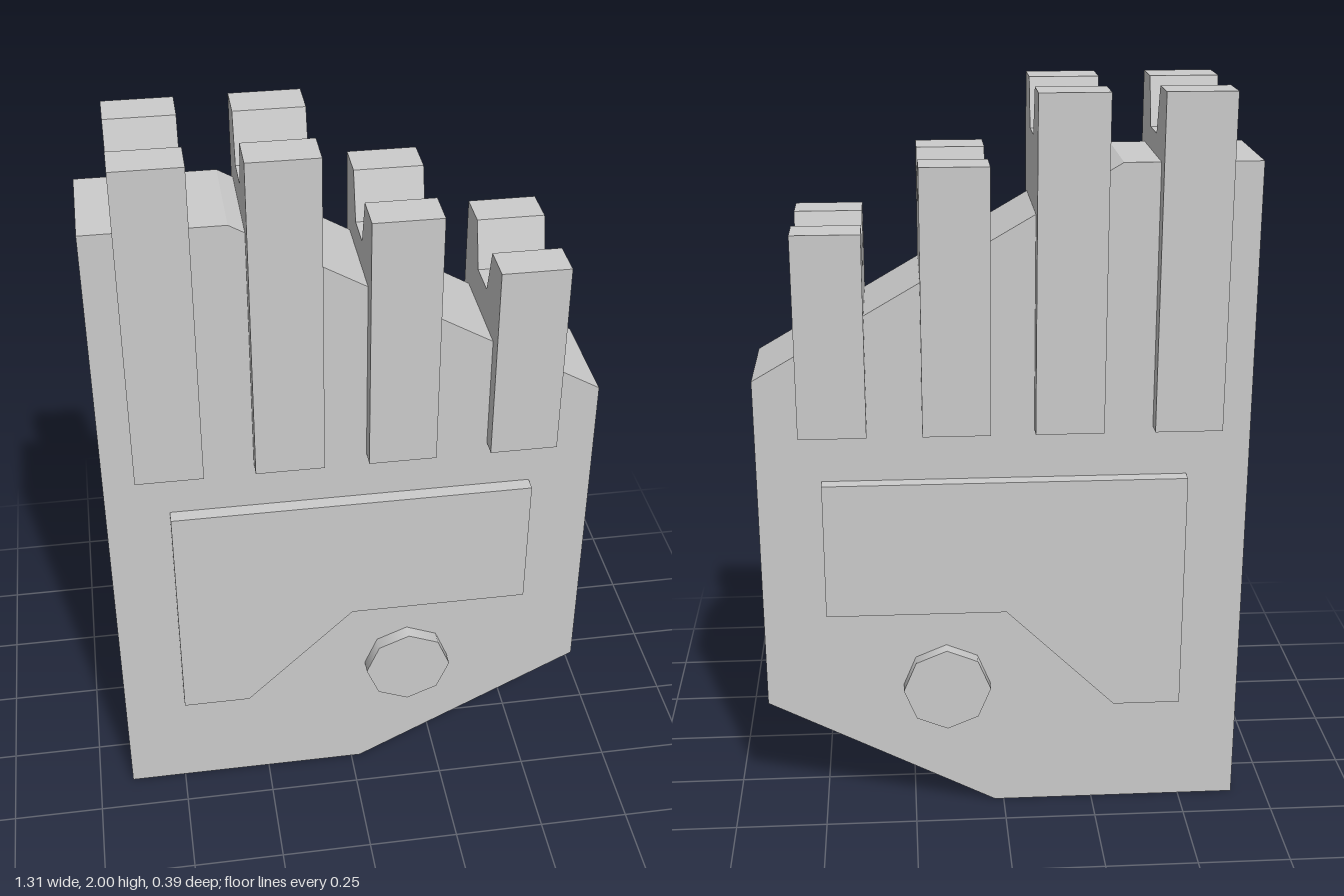
import * as THREE from 'three';

const material = new THREE.MeshStandardMaterial({ color: 0xcccccc });

// Extrude an outline to a given depth, centred on z = 0
function slab(name, points, depth) {
  const shape = new THREE.Shape(points.map(([x, y]) => new THREE.Vector2(x, y)));
  const geometry = new THREE.ExtrudeGeometry(shape, { depth, bevelEnabled: false });
  geometry.translate(0, 0, -depth / 2);
  const mesh = new THREE.Mesh(geometry, material);
  mesh.name = name;
  return mesh;
}

// Upright prong: notched side profile, extruded across its width
function prong(x0, x1, top) {
  const bottom = 1.12, half = 0.195, notch = top - 0.125;
  const mesh = slab('prong', [
    [-half, bottom], [half, bottom], [half, top], [0.088, top],
    [0.05, notch], [-0.05, notch], [-0.088, top], [-half, top],
  ], x1 - x0);
  mesh.rotation.y = Math.PI / 2;
  mesh.position.x = (x0 + x1) / 2;
  return mesh;
}

export function createModel() {
  const model = new THREE.Group();
  model.name = 'notchedPlate';

  // Main slab with sloping top and cut lower corner
  model.add(slab('body', [
    [-0.655, 0], [0.025, 0], [0.653, 0.33], [0.653, 1.265], [-0.3, 1.82], [-0.655, 1.82],
  ], 0.296));

  // Raised panel showing on both faces
  model.add(slab('raisedPanel', [
    [-0.487, 0.317], [-0.303, 0.317], [-0.005, 0.608],
    [0.482, 0.608], [0.482, 0.985], [-0.487, 0.985],
  ], 0.374));

  // Eight-sided button showing on both faces
  const button = new THREE.Mesh(new THREE.CylinderGeometry(0.12, 0.12, 0.374, 8), material);
  button.name = 'button';
  button.rotation.x = Math.PI / 2;
  button.position.set(0.158, 0.375, 0);
  model.add(button);

  // Row of four notched prongs
  const prongs = new THREE.Group();
  prongs.name = 'prongs';
  for (const [x0, x1, top] of [
    [-0.572, -0.394, 2], [-0.26, -0.08, 2], [0.037, 0.215, 1.822], [0.36, 0.538, 1.657],
  ]) prongs.add(prong(x0, x1, top));
  model.add(prongs);

  return model;
}
